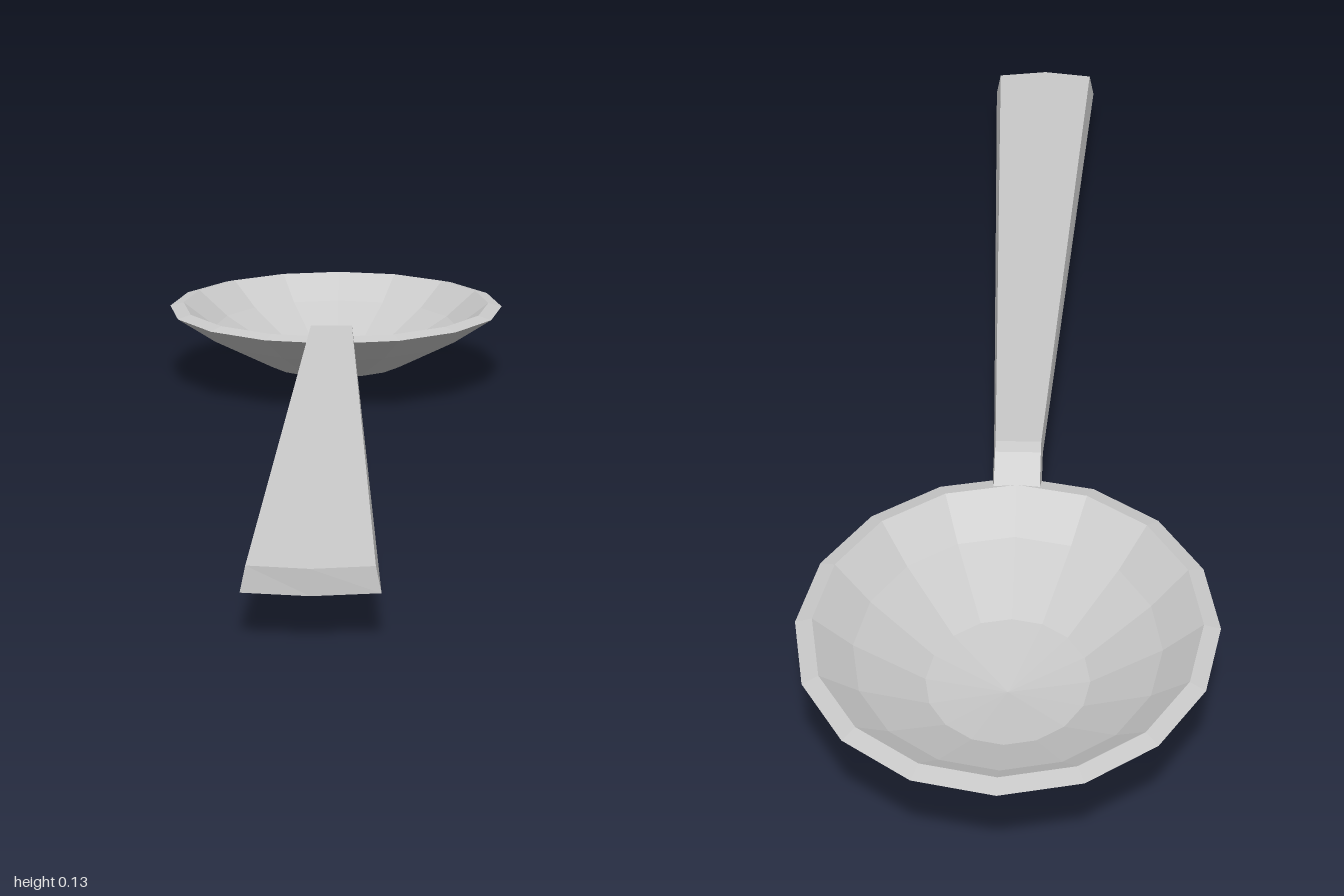
import * as THREE from 'three';

const material = new THREE.MeshStandardMaterial({ color: 0xcccccc, flatShading: true });

// Oval bowl: a closed 16-sided lathe (outside, rim, inside) stretched along z
function makeBowl() {
  const profile = [
    [0, 0], [0.41, 0.018], [0.77, 0.063], [1, 0.1],
    [0.92, 0.105], [0.73, 0.07], [0.39, 0.026], [0, 0.01],
  ].map(([r, y]) => new THREE.Vector2(r, y));
  const geometry = new THREE.LatheGeometry(profile, 16);
  geometry.scale(0.243, 1, 0.345);
  const bowl = new THREE.Mesh(geometry, material);
  bowl.name = 'bowl';
  bowl.position.z = -0.655;
  return bowl;
}

// Tapered handle lofted through sections, with a bent neck and a bowed end
function makeHandle() {
  // z, top y, bottom y, top half width, bottom half width, bow of the end
  const sections = [
    [0.985, 0.077, 0.048, 0.068, 0.074, 0.015],
    [-0.275, 0.131, 0.115, 0.028, 0.03, 0],
    [-0.295, 0.127, 0.11, 0.028, 0.03, 0],
    [-0.34, 0.104, 0.088, 0.028, 0.03, 0],
  ];
  const positions = [];
  const index = [];
  for (const [z, top, bottom, wTop, wBottom, bow] of sections) {
    positions.push(
      -wTop, top, z, 0, top, z + bow, wTop, top, z,
      wBottom, bottom, z, 0, bottom, z + bow, -wBottom, bottom, z,
    );
  }
  const quad = (a, b, c, d) => index.push(a, b, c, a, c, d);
  for (let s = 0; s < sections.length - 1; s++) {
    for (let i = 0; i < 6; i++) {
      const j = (i + 1) % 6;
      quad(s * 6 + i, s * 6 + j, s * 6 + 6 + j, s * 6 + 6 + i);
    }
  }
  // End caps
  quad(0, 5, 4, 1);
  quad(1, 4, 3, 2);
  const e = (sections.length - 1) * 6;
  quad(e, e + 1, e + 4, e + 5);
  quad(e + 1, e + 2, e + 3, e + 4);

  const geometry = new THREE.BufferGeometry();
  geometry.setAttribute('position', new THREE.Float32BufferAttribute(positions, 3));
  geometry.setIndex(index);
  geometry.computeVertexNormals();
  const handle = new THREE.Mesh(geometry, material);
  handle.name = 'handle';
  return handle;
}

export function createModel() {
  const spoon = new THREE.Group();
  spoon.name = 'spoon';
  spoon.add(makeBowl(), makeHandle());
  return spoon;
}
